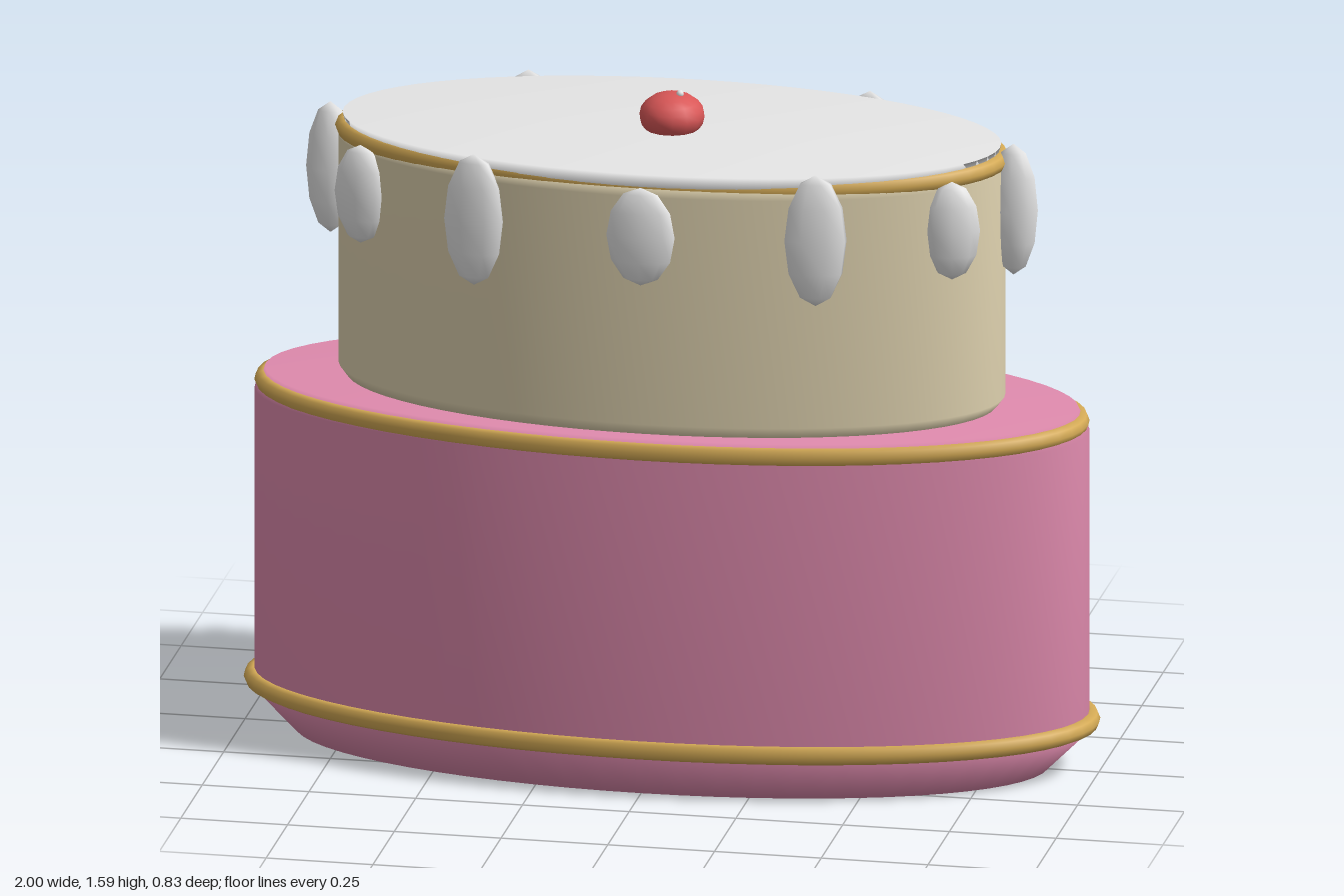
import * as THREE from 'three';

const mat = (name, color) => {
  const m = new THREE.MeshStandardMaterial({ color });
  m.name = name;
  return m;
};

export function createModel() {
  const pink = mat('pink icing', 0xe08bae);
  const cream = mat('cream sponge', 0xe0d3b0);
  const gold = mat('gold trim', 0xd4aa55);
  const white = mat('white icing', 0xe6e6e6);
  const red = mat('cherry red', 0xd95757);

  const cake = new THREE.Group();
  cake.name = 'cake';

  const add = (parent, name, geometry, material) => {
    const mesh = new THREE.Mesh(geometry, material);
    mesh.name = name;
    parent.add(mesh);
    return mesh;
  };

  // Oval tiers: a turned profile squashed in depth
  const oval = (name, profile, material, depth) => {
    const points = profile.map(([r, y]) => new THREE.Vector2(r, y));
    add(cake, name, new THREE.LatheGeometry(points, 64), material).scale.z = depth;
  };
  oval('lowerTier', [[0, 0], [0.88, 0], [0.975, 0.095], [0.975, 0.815], [0.95, 0.865], [0, 0.865]], pink, 0.41);
  oval('upperTier', [[0, 0.86], [0.755, 0.86], [0.778, 0.89], [0.778, 1.44], [0.765, 1.47], [0, 1.47]], cream, 0.462);
  oval('topIcing', [[0, 1.455], [0.76, 1.455], [0.768, 1.493], [0, 1.493]], white, 0.467);

  // Gold piping around the tiers
  const ring = (name, radius, tube, y, depth) => {
    const geometry = new THREE.TorusGeometry(radius, tube, 8, 64).rotateX(Math.PI / 2);
    const mesh = add(cake, name, geometry, gold);
    mesh.position.y = y;
    mesh.scale.z = depth;
  };
  ring('bottomTrim', 0.978, 0.022, 0.118, 0.415);
  ring('middleTrim', 0.953, 0.022, 0.836, 0.417);
  ring('topTrim', 0.764, 0.022, 1.461, 0.453);

  // Icing drips, alternately long and short, around the upper oval
  const drips = new THREE.Group();
  drips.name = 'icingDrips';
  drips.scale.z = 0.46;
  cake.add(drips);
  const dripGeometry = new THREE.SphereGeometry(1, 8, 6);
  for (let i = 0; i < 12; i++) {
    const angle = (i * Math.PI) / 6;
    const drip = add(drips, 'drip', dripGeometry, white);
    drip.position.set(0.8 * Math.cos(angle), 1.347, 0.8 * Math.sin(angle));
    drip.rotation.y = -angle;
    drip.scale.set(0.057, i % 2 ? 0.118 : 0.158, 0.08);
    // long drips sit at the two ends
    if (i % 3 === 0) drip.scale.y = i % 6 === 0 ? 0.158 : 0.118;
  }

  // Cherry with a tiny sugar bead
  const cherry = add(cake, 'cherry', new THREE.SphereGeometry(0.076, 14, 10), red);
  cherry.scale.y = 0.72;
  cherry.position.y = 1.523;
  add(cake, 'cherryBead', new THREE.SphereGeometry(0.009, 8, 6), white).position.set(0.02, 1.577, 0.005);

  return cake;
}
